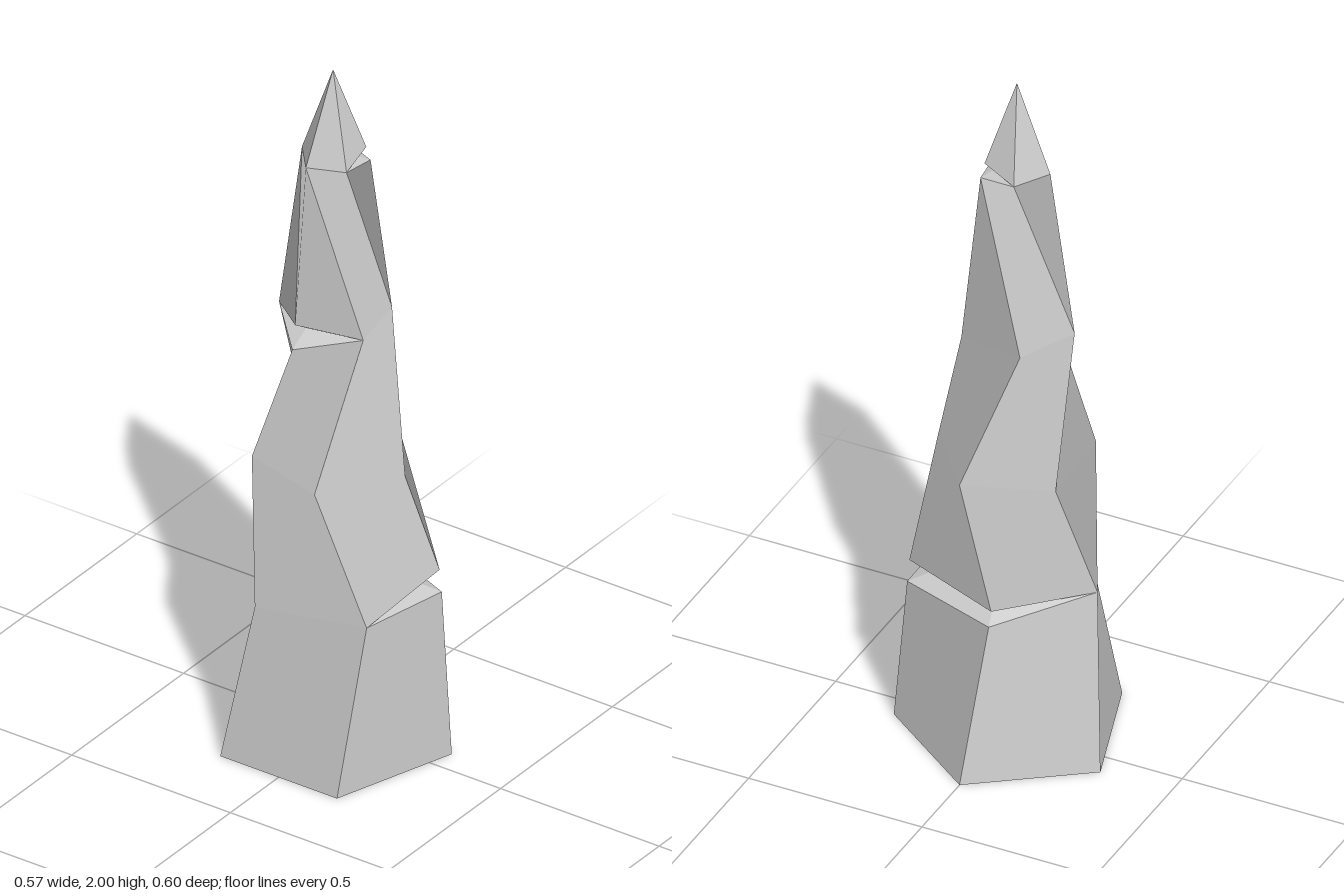
import * as THREE from 'three';

// Five-sided cross-sections, each corner [x, z], walking from +x towards +z.
const ring = (y, corners) => corners.map(([x, z]) => new THREE.Vector3(x, y, z));

// A crack replaces some corners of a ring by a lower lip, an inner point and an upper lip.
function cracked(base, cuts) {
  return [0, 1, 2].map((layer) =>
    base.map((p, i) => (cuts[i] ? new THREE.Vector3(...cuts[i][layer]) : p.clone())));
}

function createSpireGeometry() {
  const foot = ring(0, [[0.284, 0], [0.068, 0.298], [-0.284, 0.184], [-0.284, -0.184], [0.068, -0.298]]);
  const lower = ring(0.487, [[0.21, -0.05], [0.105, 0.24], [-0.205, 0.222], [-0.284, -0.075], [-0.025, -0.243]]);
  const waist = ring(0.85, [[0.175, 0.055], [-0.02, 0.213], [-0.23, 0.075], [-0.165, -0.168], [0.09, -0.18]]);
  const upper = ring(1.257, [[0.12, -0.092], [0.1, 0.087], [-0.08, 0.123], [-0.17, -0.033], [-0.045, -0.167]]);
  const neck = ring(1.74, [[0.04, 0.063], [-0.075, 0.067], [-0.115, -0.033], [-0.033, -0.103], [0.062, -0.045]]);
  const apex = ring(2, Array(5).fill([-0.026, -0.01]));

  const rings = [
    foot,
    ...cracked(lower, {
      0: [[0.212, 0.462, -0.048], [0.165, 0.487, -0.035], [0.206, 0.508, -0.052]],
      1: [[0.103, 0.452, 0.242], [0.06, 0.487, 0.17], [0.1, 0.518, 0.237]],
    }),
    waist,
    ...cracked(upper, {
      3: [[-0.173, 1.22, -0.035], [-0.11, 1.255, -0.035], [-0.163, 1.29, -0.033]],
    }),
    ...cracked(neck, {
      0: [[0.038, 1.722, 0.063], [0.008, 1.74, 0.035], [0.029, 1.763, 0.056]],
    }),
    apex,
  ];

  const positions = [];
  const normals = [];
  const tri = (a, b, c, normal) => {
    if (a.equals(b) || b.equals(c) || c.equals(a)) return;
    for (const p of [a, b, c]) {
      positions.push(...p.toArray());
      normals.push(...normal.toArray());
    }
  };

  // Twisted side facets, all split the same way and each shaded as one plane
  for (let r = 0; r < rings.length - 1; r++) {
    for (let i = 0; i < 5; i++) {
      const j = (i + 1) % 5;
      const a = rings[r][i], b = rings[r][j];
      const c = rings[r + 1][j], d = rings[r + 1][i];
      const normal = c.clone().sub(a).cross(b.clone().sub(d)).normalize();
      tri(a, d, b, normal);
      tri(b, d, c, normal);
    }
  }

  const geometry = new THREE.BufferGeometry();
  geometry.setAttribute('position', new THREE.Float32BufferAttribute(positions, 3));
  geometry.setAttribute('normal', new THREE.Float32BufferAttribute(normals, 3));
  return geometry;
}

export function createModel() {
  const model = new THREE.Group();
  model.name = 'rockSpire';
  // Hollow shell, open underneath
  const material = new THREE.MeshStandardMaterial({ color: 0xcccccc, side: THREE.DoubleSide });
  const spire = new THREE.Mesh(createSpireGeometry(), material);
  spire.name = 'crackedSpire';
  model.add(spire);
  return model;
}
